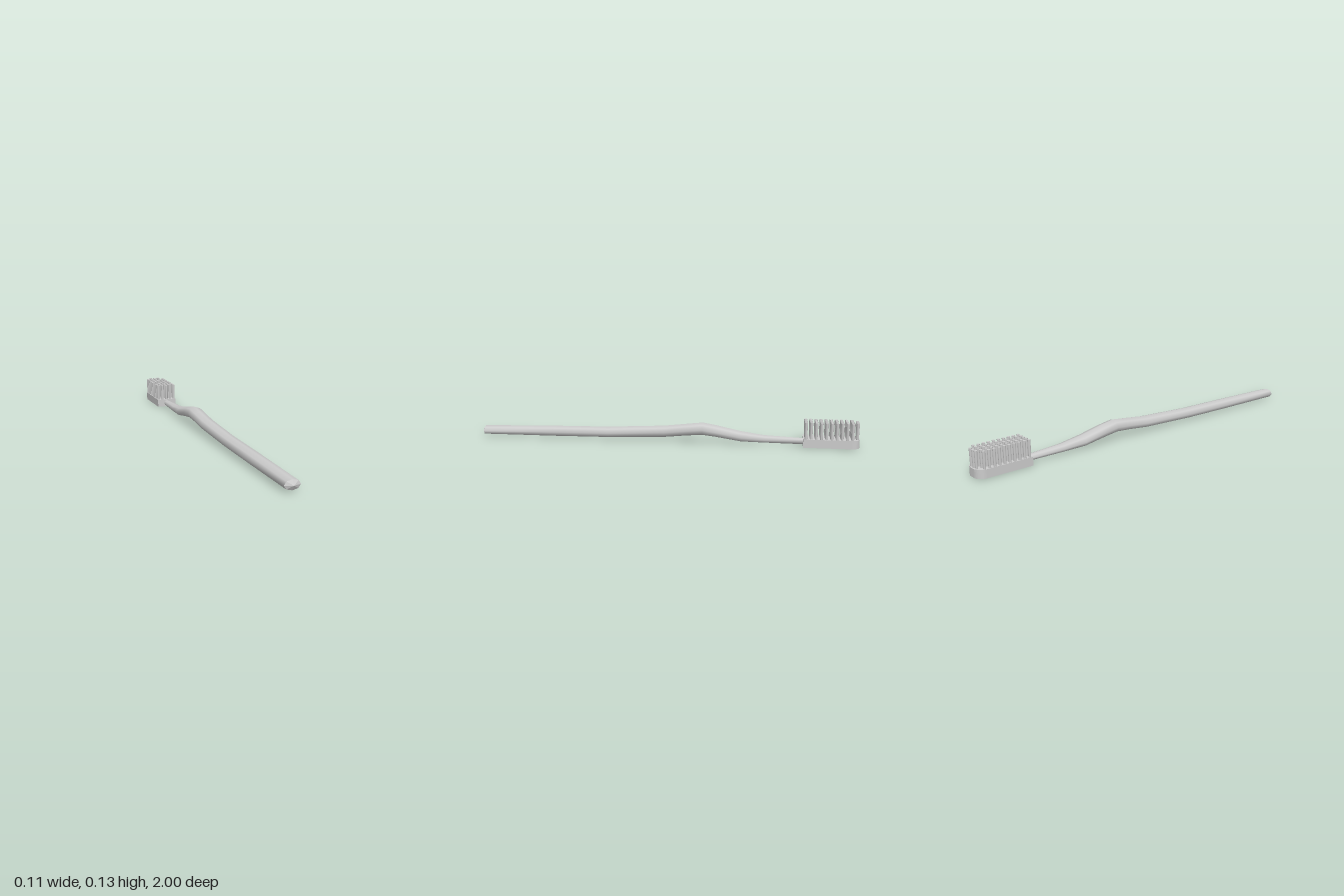
import * as THREE from 'three';

const material = new THREE.MeshStandardMaterial({ color: 0xcccccc, side: THREE.DoubleSide });

// Handle stations from butt to neck: z, bottom y, top y, half width
const STATIONS = [
  [0.985, 0.005, 0.053, 0.039],
  [0.6, 0.006, 0.062, 0.04],
  [0.3, 0.009, 0.066, 0.04],
  [0.0, 0.02, 0.081, 0.041],
  [-0.12, 0.032, 0.095, 0.042],
  [-0.2, 0.037, 0.104, 0.043],
  [-0.27, 0.029, 0.092, 0.044],
  [-0.4, 0.009, 0.064, 0.043],
  [-0.52, 0.007, 0.047, 0.032],
  [-0.73, 0.005, 0.037, 0.017],
];
const SIDES = 8;

// Loft of eight-sided oval sections
function loft(stations) {
  const pos = [], index = [];
  for (const [z, bottom, top, w] of stations) {
    for (let i = 0; i < SIDES; i++) {
      const a = (i / SIDES) * Math.PI * 2;
      pos.push(Math.sin(a) * w, (top + bottom) / 2 + Math.cos(a) * (top - bottom) / 2, z);
    }
  }
  for (let s = 0; s < stations.length - 1; s++) {
    for (let i = 0; i < SIDES; i++) {
      const a = s * SIDES + i, b = s * SIDES + (i + 1) % SIDES;
      index.push(a, a + SIDES, b, b, a + SIDES, b + SIDES);
    }
  }
  const geo = new THREE.BufferGeometry();
  geo.setAttribute('position', new THREE.Float32BufferAttribute(pos, 3));
  geo.setIndex(index);
  geo.computeVertexNormals();
  return geo;
}

// Shallow faceted cap closing the butt end
function buttCap([z, bottom, top, w]) {
  const geo = new THREE.ConeGeometry(1, 0.015, SIDES, 1, true).toNonIndexed();
  geo.rotateX(Math.PI / 2);
  geo.scale(w, (top - bottom) / 2, 1);
  geo.translate(0, (top + bottom) / 2, z + 0.0075);
  geo.computeVertexNormals();
  return geo;
}

// Plate outline with a square neck end and rounded tip
function headGeometry() {
  const w = 0.056, r = 0.042, near = 0.717, far = 1;
  const s = new THREE.Shape();
  s.moveTo(-w, near);
  s.lineTo(w, near);
  s.lineTo(w, far - r);
  s.absarc(w - r, far - r, r, 0, Math.PI / 2);
  s.absarc(r - w, far - r, r, Math.PI / 2, Math.PI);
  s.closePath();
  const geo = new THREE.ExtrudeGeometry(s, { depth: 0.043, bevelEnabled: false, curveSegments: 5 });
  return geo.rotateX(-Math.PI / 2);
}

function addMesh(parent, name, geo) {
  const mesh = new THREE.Mesh(geo, material);
  mesh.name = name;
  parent.add(mesh);
  return mesh;
}

export function createModel() {
  const model = new THREE.Group();
  model.name = 'toothbrush';

  const handle = new THREE.Group();
  handle.name = 'handle';
  addMesh(handle, 'handleBody', loft(STATIONS));
  addMesh(handle, 'handleEnd', buttCap(STATIONS[0]));
  model.add(handle);

  addMesh(model, 'head', headGeometry());

  // Bristle tufts, leaving out the two rounded corners
  const bristles = new THREE.Group();
  bristles.name = 'bristles';
  const tuft = new THREE.CylinderGeometry(0.008, 0.0065, 0.09, 8);
  const rows = 11;
  for (let row = 0; row < rows; row++) {
    for (let col = -2; col <= 2; col++) {
      if (row === rows - 1 && Math.abs(col) === 2) continue;
      addMesh(bristles, 'bristleTuft', tuft).position.set(col * 0.024, 0.084, -0.73 - row * 0.0258);
    }
  }
  model.add(bristles);
  return model;
}
